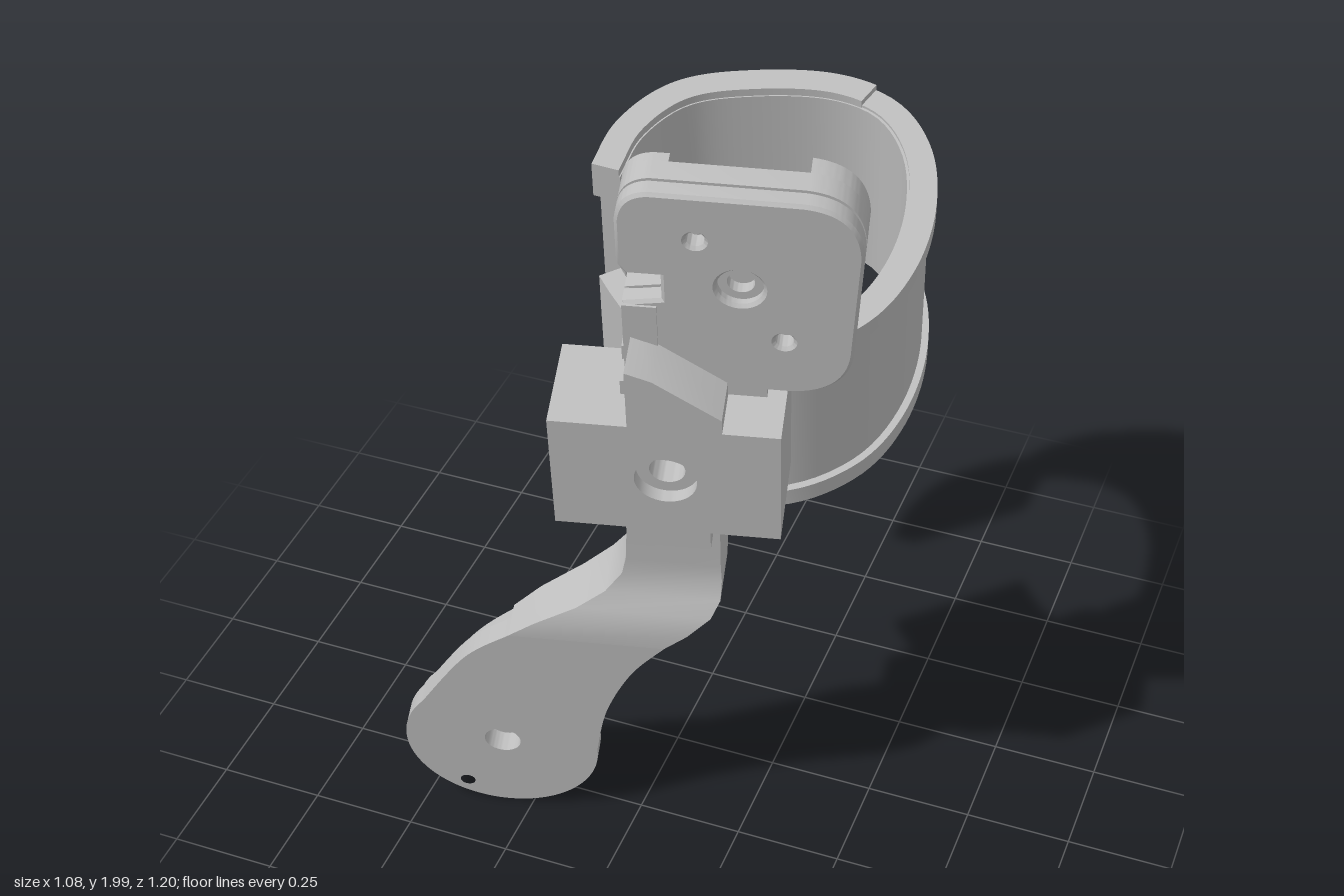
import * as THREE from 'three';
import { toCreasedNormals } from 'three/addons/utils/BufferGeometryUtils.js';

const grey = new THREE.MeshStandardMaterial({ color: 0xbdbdbd });
grey.name = 'lightGrey';

const V = (p) => p.map(([x, y]) => new THREE.Vector2(x, y));
const poly = (p) => new THREE.Shape(V(p));

function group(parent, name) {
  const g = new THREE.Group();
  g.name = name;
  parent.add(g);
  return g;
}

function add(parent, name, geo) {
  const mesh = new THREE.Mesh(toCreasedNormals(geo, 0.5), grey);
  mesh.name = name;
  parent.add(mesh);
}

function drill(shape, holes) {
  for (const [x, y, r] of holes) {
    const h = new THREE.Path();
    h.absarc(x, y, r, 0, Math.PI * 2, true);
    shape.holes.push(h);
  }
  return shape;
}

function ring(x, y, r, hole) {
  const s = new THREE.Shape();
  s.absarc(x, y, r, 0, Math.PI * 2);
  return drill(s, [[x, y, hole]]);
}

// Plate in the XY plane between two depths, with optional chamfered edges
function plate(shape, z0, z1, bevel = 0) {
  const geo = new THREE.ExtrudeGeometry(shape, {
    depth: z1 - z0 - 2 * bevel, bevelEnabled: bevel > 0, bevelSize: bevel,
    bevelThickness: bevel, bevelOffset: -bevel, bevelSegments: 1, curveSegments: 28,
  });
  return geo.translate(0, 0, z0 + bevel);
}

function box(x0, x1, y0, y1, z0, z1) {
  return new THREE.BoxGeometry(x1 - x0, y1 - y0, z1 - z0)
    .translate((x0 + x1) / 2, (y0 + y1) / 2, (z0 + z1) / 2);
}

// Round end of the lower arm
const PX = -0.425, PY = -1.05;
function padShape(i) {
  const s = new THREE.Shape();
  s.moveTo(-0.025 - i, -0.62);
  s.splineThru(V([[-0.103 - i, -0.727], [-0.166 - i, -0.88], [PX + 0.23 - i, PY + 0.012]]));
  s.absarc(PX, PY, 0.23 - i, 0.05, 2.46, true);
  s.splineThru(V([[-0.488 + i, -0.717 - i], [-0.38 + i, -0.62]]));
  s.closePath();
  return s;
}

function buildLowerArm(parent) {
  const g = group(parent, 'lowerArm');
  const screws = [0, 1, 2].map((k) => {
    const a = k * Math.PI * 2 / 3;
    return [PX + 0.19 * Math.cos(a), PY + 0.19 * Math.sin(a), 0.018];
  });
  add(g, 'armPlate', plate(drill(padShape(0), [[PX, PY, 0.062], ...screws]), -0.08, -0.028));

  const frame = drill(padShape(0.016), [[PX, PY, 0.045]]);
  frame.holes.push(new THREE.Path(V([[-0.455, -0.77], [-0.35, -0.67], [-0.14, -0.67], [-0.2, -0.8], [-0.32, -0.825]])));
  add(g, 'armBackFrame', plate(frame, -0.12, -0.08));
  add(g, 'pivotDisc', plate(ring(PX, PY, 0.197, 0.045), -0.15, -0.12, 0.004));
  add(g, 'pivotSleeve', plate(ring(PX, PY, 0.066, 0.043), -0.09, -0.04));

  // Bent stem: rows of [y, left, right, front, back]
  const rows = [
    [-0.62, -0.38, -0.025, -0.028, -0.116], [-0.57, -0.318, 0.028, -0.03, -0.138],
    [-0.52, -0.222, 0.08, -0.047, -0.175], [-0.48, -0.158, 0.1, -0.07, -0.203],
    [-0.43, -0.12, 0.102, -0.086, -0.207], [-0.38, -0.11, 0.1, -0.088, -0.204],
    [-0.2, -0.1, 0.1, -0.088, -0.2], [0.2, -0.1, 0.1, -0.088, -0.2],
  ];
  const geo = new THREE.BoxGeometry(1, 1, 1, 1, rows.length - 1, 1);
  const p = geo.attributes.position;
  for (let i = 0; i < p.count; i++) {
    const r = rows[Math.round((p.getY(i) + 0.5) * (rows.length - 1))];
    p.setXYZ(i, p.getX(i) < 0 ? r[1] : r[2], r[0], p.getZ(i) > 0 ? r[3] : r[4]);
  }
  add(g, 'stem', geo);
}

function buildClamp(parent) {
  const g = group(parent, 'clamp');
  const face = () => poly([[-0.24, -0.16], [0.24, -0.16], [0.24, 0.16], [-0.24, 0.16]]);
  add(g, 'clampFront', plate(drill(face(), [[0, 0, 0.066]]), -0.03, 0));
  add(g, 'clampBody', plate(drill(face(), [[0, 0, 0.038]]), -0.215, -0.03));
  add(g, 'clampFoot', box(-0.09, 0.09, -0.225, -0.16, -0.1, -0.01));
  add(g, 'cuffMount', box(-0.11, 0.13, -0.26, 0.2, -0.23, -0.185));
  // Sloping wedge and neck above the clamp
  add(g, 'wedge', plate(poly([[-0.075, 0.16], [0.12, 0.16], [0.12, 0.2], [-0.02, 0.3], [-0.075, 0.32]]), -0.17, 0.0));
  add(g, 'neck', box(-0.09, -0.02, 0.16, 0.41, -0.25, -0.1));
  add(g, 'neckBase', box(-0.08, 0.2, 0.16, 0.22, -0.2, -0.11));
}

function buildHead(parent) {
  const g = group(parent, 'head');
  g.position.y = -0.022;
  const outline = () => {
    const s = new THREE.Shape();
    s.moveTo(0.11, 0.205);
    s.lineTo(0.25, 0.205);
    s.quadraticCurveTo(0.365, 0.215, 0.375, 0.33);
    s.lineTo(0.39, 0.6);
    s.quadraticCurveTo(0.385, 0.725, 0.27, 0.733);
    s.lineTo(-0.03, 0.737);
    s.quadraticCurveTo(-0.09, 0.73, -0.097, 0.66);
    for (const [x, y] of [[-0.097, 0.54], [-0.08, 0.515], [-0.01, 0.515], [-0.01, 0.45], [-0.09, 0.435], [-0.09, 0.35], [-0.045, 0.3]]) s.lineTo(x, y);
    s.quadraticCurveTo(0.02, 0.215, 0.11, 0.205);
    return s;
  };
  const a = [[0.06, 0.62, 0.019], [0.235, 0.355, 0.019]];
  const b = [[0.235, 0.62, 0.019], [0.06, 0.355, 0.019]];
  add(g, 'headFront', plate(drill(outline(), [[0.147, 0.497, 0.047], ...a]), -0.15, -0.105, 0.007));
  add(g, 'headBack', plate(drill(outline(), [...a, ...b]), -0.2, -0.15));
  add(g, 'headSleeve', plate(ring(0.147, 0.497, 0.05, 0.028), -0.155, -0.125));

  // Thick rounded side wall, corner wall and ledge behind the plate
  const side = new THREE.Shape();
  side.moveTo(0.275, 0.207);
  side.quadraticCurveTo(0.365, 0.22, 0.375, 0.33);
  side.lineTo(0.39, 0.6);
  side.quadraticCurveTo(0.385, 0.72, 0.275, 0.732);
  side.closePath();
  add(g, 'sideWall', plate(side, -0.25, -0.19, 0.007));
  const corner = new THREE.Shape();
  corner.moveTo(0, 0.52);
  corner.lineTo(0, 0.735);
  corner.lineTo(-0.03, 0.735);
  corner.quadraticCurveTo(-0.09, 0.73, -0.097, 0.66);
  corner.lineTo(-0.097, 0.54);
  corner.lineTo(-0.08, 0.52);
  corner.closePath();
  add(g, 'cornerWall', plate(corner, -0.225, -0.19));
  add(g, 'lowerLedge', box(0.04, 0.26, 0.21, 0.26, -0.225, -0.19));
}

// Open cuff, drawn from above as [x, z] along its inner face
const cuffCurve = new THREE.CatmullRomCurve3([
  [-0.165, -0.415], [-0.13, -0.36], [-0.075, -0.295], [0.04, -0.262], [0.19, -0.262],
  [0.315, -0.344], [0.387, -0.474], [0.42, -0.654], [0.4, -0.826], [0.335, -0.938],
  [0.234, -0.985], [0.058, -0.98], [-0.085, -0.935], [-0.172, -0.824], [-0.205, -0.69],
].map(([x, z]) => new THREE.Vector3(x, -z, 0)));

function band(t0, t1, inner, outer, y0, y1) {
  const n = 72, ins = [], outs = [];
  for (let i = 0; i <= n; i++) {
    const t = t0 + (t1 - t0) * i / n;
    const p = cuffCurve.getPointAt(t), d = cuffCurve.getTangentAt(t);
    ins.push([p.x + d.y * inner, p.y - d.x * inner]);
    outs.push([p.x + d.y * outer, p.y - d.x * outer]);
  }
  return plate(poly([...outs, ...ins.reverse()]), y0, y1).rotateX(-Math.PI / 2);
}

function buildCuff(parent) {
  const g = group(parent, 'cuff');
  g.position.set(0.022, -0.012, 0.005);
  add(g, 'cuffWall', band(0, 1, 0, 0.05, -0.26, 0.21));
  add(g, 'lowerRim', band(0.2, 1, 0.006, 0.066, -0.266, -0.22));
  add(g, 'upperRim', band(0.2, 1, 0.006, 0.066, 0.175, 0.216));
  add(g, 'frontRim', band(0.16, 0.21, 0.004, 0.065, -0.265, 0.215));
  add(g, 'raisedUpperRim', band(0.65, 1, 0.003, 0.067, 0.135, 0.23));
  add(g, 'raisedLowerRim', band(0.65, 0.97, 0.008, 0.067, -0.265, -0.175));
}

export function createModel() {
  const model = new THREE.Group();
  model.name = 'bracketWithCuff';
  // All parts share one leaning, turned frame
  const frame = group(model, 'frame');
  frame.rotation.set(0.19, 0.235, 0, 'YXZ');
  frame.position.set(0.165, 1.255, 0.505);
  buildLowerArm(frame);
  buildClamp(frame);
  buildHead(frame);
  buildCuff(frame);
  return model;
}
